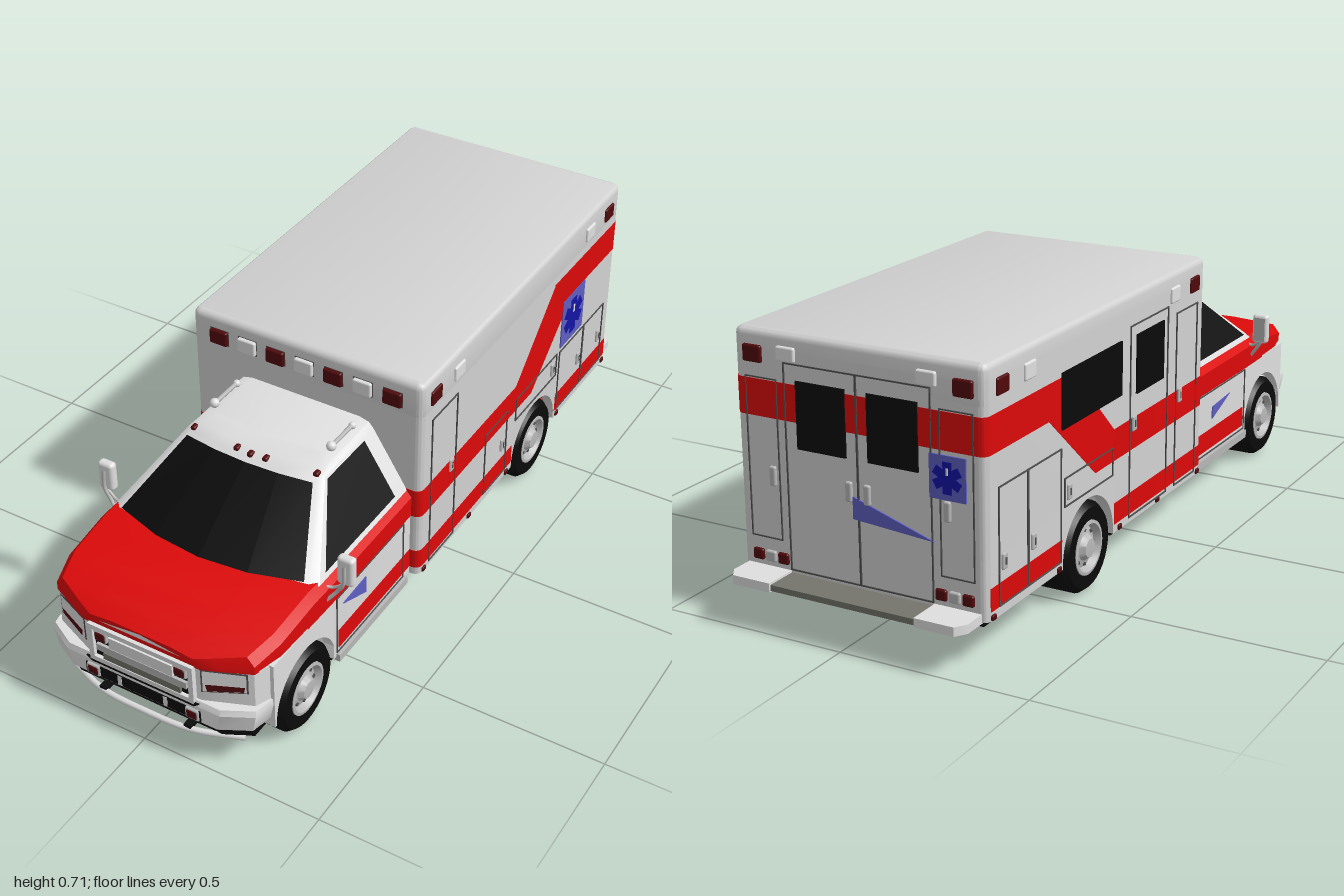
import * as THREE from 'three';
import { toCreasedNormals } from 'three/addons/utils/BufferGeometryUtils.js';
import { RoundedBoxGeometry } from 'three/addons/geometries/RoundedBoxGeometry.js';

export function createModel() {
  const root = new THREE.Group();
  root.name = 'ambulance';
  const mat = (name, color) => Object.assign(new THREE.MeshStandardMaterial({ color }), { name });
  const white = mat('cab white', 0xdfdfdf), shell = mat('body white', 0xd2d2d2), red = mat('red paint', 0xdd0909),
    lampRed = mat('dark red lens', 0x50090b), black = mat('black glass and rubber', 0x0b0b0b), paleBlue = mat('pale blue', 0x5e5ec2),
    blue = mat('deep blue', 0x1414a4), seam = mat('seam grey', 0x505050), chrome = mat('chrome grey', 0xb8b8b8),
    step = mat('step grey', 0x74746c);
  const P = Math.PI, sides = ['L', 'R'];

  const add = (name, geo, m, x = 0, y = 0, z = 0) => {
    const mesh = new THREE.Mesh(geo, m);
    mesh.name = name;
    mesh.position.set(x, y, z);
    root.add(mesh);
    return mesh;
  };
  const box = (name, w, h, d, m, x, y, z) => add(name, new THREE.BoxGeometry(w, h, d), m, x, y, z);
  const soft = (name, w, h, d, m, x, y, z, r = 0.005) => add(name, new RoundedBoxGeometry(w, h, d, 3, r), m, x, y, z);
  const poly = pts => new THREE.Shape(pts.map(p => new THREE.Vector2(p[0], p[1])));
  const rect = (a0, a1, b0, b1) => poly([[a0, b0], [a1, b0], [a1, b1], [a0, b1]]);
  const frame = (a0, a1, b0, b1, t = 0.0035) => {
    const s = rect(a0, a1, b0, b1);
    s.holes.push(rect(a0 + t, a1 - t, b0 + t, b1 - t));
    return s;
  };
  // Flat plate whose outer face lies at distance out; L and R use (z, y), F and B use (x, y)
  const plate = (name, shape, m, face, out, depth = 0.006) => {
    const mesh = add(name, new THREE.ExtrudeGeometry(shape, { depth, bevelEnabled: false, curveSegments: 16 }), m);
    if (face === 'L' || face === 'R') {
      mesh.rotation.y = -P / 2;
      mesh.position.x = face === 'L' ? out : depth - out;
    } else mesh.position.z = face === 'F' ? out - depth : -out;
    return mesh;
  };
  // Upright prism from a plan outline drawn in (x, -z)
  const prism = (name, shape, y0, y1, m, bevel = 0) => {
    const g = new THREE.ExtrudeGeometry(shape, { depth: y1 - y0 - 2 * bevel, bevelEnabled: bevel > 0, bevelSize: bevel,
      bevelThickness: bevel, bevelOffset: -bevel, bevelSegments: 4, curveSegments: 6 });
    g.rotateX(-P / 2);
    return add(name, toCreasedNormals(g, 0.6), m, 0, y0 + bevel, 0);
  };
  const plan = (zB, zF, rB, rF, w) => {
    const s = new THREE.Shape();
    s.absarc(w - rF, rF - zF, rF, -P / 2, 0);
    s.absarc(w - rB, -zB - rB, rB, 0, P / 2);
    s.absarc(rB - w, -zB - rB, rB, P / 2, P);
    s.absarc(rF - w, rF - zF, rF, P, 1.5 * P);
    return s;
  };
  // Skin over cross-section loops, closed at both ends
  const loft = (name, rings, m) => {
    const n = rings[0].length, idx = [], last = (rings.length - 1) * n;
    for (let i = 0; i < rings.length - 1; i++) for (let j = 0; j < n; j++) {
      const a = i * n + j, b = i * n + (j + 1) % n;
      idx.push(a, b, b + n, a, b + n, a + n);
    }
    for (let j = 1; j < n - 1; j++) idx.push(0, j + 1, j, last, last + j, last + j + 1);
    const g = new THREE.BufferGeometry();
    g.setAttribute('position', new THREE.Float32BufferAttribute(rings.flat(2), 3));
    g.setIndex(idx);
    return add(name, toCreasedNormals(g, 0.5), m);
  };
  // Flat polygon in space facing away from the cab, shifted by lift
  const patch = (name, pts, m, lift) => {
    const v = pts.map(p => new THREE.Vector3(...p));
    const n = v[1].clone().sub(v[0]).cross(v[2].clone().sub(v[0]));
    if (n.dot(v[0].clone().sub(new THREE.Vector3(0, 0.25, 0.35))) < 0) v.reverse();
    const g = new THREE.BufferGeometry().setFromPoints(v);
    g.setIndex(v.slice(2).flatMap((_, i) => [0, i + 1, i + 2]));
    g.computeVertexNormals();
    return add(name, g, m, ...lift);
  };
  const tube = (name, pts, r, m) => add(name, new THREE.TubeGeometry(
    new THREE.CatmullRomCurve3(pts.map(p => new THREE.Vector3(...p))), 20, r, 8), m);
  const arch = (c, z0, z1, top) => {
    const s = new THREE.Shape(), r = 0.133;
    s.moveTo(z0, 0.107).lineTo(c - r, 0.107).absarc(c, 0.115, r, P, 0, true);
    s.lineTo(c + r, 0.107).lineTo(z1, 0.107).lineTo(z1, top).lineTo(z0, top).closePath();
    return s;
  };

  // Patient compartment
  const W = 0.34, F = 0.246, B = -0.905, E = 0.001, T = 0.0012;
  prism('boxBody', plan(B, F, 0.02, 0.02, W), 0.255, 0.67, shell);
  prism('boxRoof', plan(B, F, 0.02, 0.02, W), 0.6, 0.715, shell, 0.018);
  prism('frontSkirt', plan(-0.28, F, E, 0.02, W), 0.107, 0.256, shell);
  prism('rearSkirt', plan(B, -0.555, 0.02, E, W), 0.107, 0.256, shell);
  for (const f of sides) plate('rearWheelArch', arch(-0.417, -0.557, -0.278, 0.257), shell, f, W, 0.03);
  box('rearWheelhouse', 0.5, 0.16, 0.3, black, 0, 0.175, -0.417);
  box('underbody', 0.65, 0.02, 0.5, black, 0, 0.104, -0.02);
  box('rearUnderbody', 0.65, 0.02, 0.335, black, 0, 0.104, -0.73);
  box('chassis', 0.34, 0.05, 0.36, black, 0, 0.085, 0.45);
  add('rearAxle', new THREE.CylinderGeometry(0.025, 0.025, 0.4, 12), black, 0, 0.115, -0.417).rotation.z = P / 2;

  // Red bands
  prism('lowerBandFront', plan(-0.28, F + T, E, 0.02 + T, W + T), 0.13, 0.187, red);
  prism('lowerBandRear', plan(B + 0.015, -0.555, E, E, W + T), 0.13, 0.187, red);
  prism('waistBand', plan(-0.29, F + T, E, 0.02 + T, W + T), 0.302, 0.385, red);
  prism('upperBand', plan(B - T, -0.5, 0.02 + T, E, W + T), 0.503, 0.594, red);
  for (const f of sides)
    plate('slantBand', poly([[-0.385, 0.302], [-0.62, 0.503], [-0.62, 0.594], [-0.505, 0.594], [-0.285, 0.385], [-0.285, 0.302]].reverse()), red, f, W + T);

  // Doors, lockers and handles
  const panels = { L: [[0.06, 0.195, 0.12, 0.585], [-0.24, -0.11, 0.13, 0.335], [-0.545, -0.29, 0.265, 0.34], [-0.72, -0.56, 0.13, 0.335], [-0.855, -0.72, 0.13, 0.335]],
    R: [[0.07, 0.2, 0.12, 0.6], [-0.2, 0.02, 0.12, 0.63], [-0.545, -0.29, 0.265, 0.34], [-0.72, -0.56, 0.13, 0.42], [-0.855, -0.72, 0.13, 0.42]] };
  for (const f of sides) for (const [a, b, c, d] of panels[f]) {
    plate('panelSeam', frame(a, b, c, d), seam, f, W + 0.003);
    const x = (f === 'L' ? 1 : -1) * W, hy = d > 0.5 ? 0.37 : d === 0.34 ? 0.3 : 0.235;
    soft('handle', 0.012, 0.042, 0.022, chrome, x, hy, a + 0.025);
    box('latch', 0.014, 0.018, 0.006, seam, x, hy, a + 0.025);
  }
  for (const [a, b] of [[-0.2, 0.001], [-0.001, 0.2]]) plate('rearDoorSeam', frame(a, b, 0.13, 0.645), seam, 'B', 0.908);
  for (const s of [-1, 1]) {
    plate('rearWindow', rect(s > 0 ? 0.03 : -0.165, s > 0 ? 0.165 : -0.03, 0.44, 0.605), black, 'B', 0.91);
    plate('rearLockerSeam', frame(s > 0 ? 0.22 : -0.31, s > 0 ? 0.31 : -0.22, 0.2, 0.6, 0.003), seam, 'B', 0.908);
    soft('rearHandle', 0.018, 0.05, 0.012, chrome, s * 0.025, 0.36, -0.907);
    soft('lockerHandle', 0.018, 0.05, 0.012, chrome, s * 0.24, 0.36, -0.907);
    for (let i = 0; i < 3; i++) soft('tailLamp', 0.03, 0.028, 0.012, i === 1 ? chrome : lampRed, s * (0.22 + i * 0.036), 0.155, -0.907);
  }
  plate('sideWindow', rect(-0.56, -0.25, 0.465, 0.605), black, 'R', W + 0.005);
  plate('sideDoorWindow', rect(-0.165, -0.01, 0.445, 0.6), black, 'R', W + 0.005);

  // Blue markings
  const badge = (face, a, b, r, out) => {
    plate('badgeField', rect(a - r, a + r, b - r * 1.1, b + r * 1.1), paleBlue, face, out);
    for (let i = 0; i < 3; i++) {
      const c = Math.cos(P / 2 + i * P / 3), s = Math.sin(P / 2 + i * P / 3), l = r * 0.8, h = r * 0.24;
      plate('badgeStar', poly([[-l, -h], [l, -h], [l, h], [-l, h]].map(([u, v]) => [a + u * c - v * s, b + u * s + v * c])), blue, face, out + 0.0015);
    }
    plate('badgeStaff', rect(a - r * 0.06, a + r * 0.06, b + r * 0.15, b + r * 0.5), white, face, out + 0.003);
  };
  badge('L', -0.63, 0.425, 0.07, W + 0.003);
  badge('B', -0.242, 0.44, 0.048, 0.909);
  plate('rearTriangle', poly([[0.015, 0.35], [-0.205, 0.28], [0.015, 0.295]]), paleBlue, 'B', 0.909);
  plate('leftDoorTriangle', poly([[0.58, 0.262], [0.47, 0.215], [0.47, 0.266]]), paleBlue, 'L', 0.315);
  plate('rightDoorTriangle', poly([[0.5, 0.258], [0.38, 0.215], [0.38, 0.25]]), paleBlue, 'R', 0.315);

  // Warning lamps round the top
  for (let i = -3; i <= 3; i++) {
    plate('frontLampGasket', rect(i * 0.0855 - 0.028, i * 0.0855 + 0.028, 0.6325, 0.6775), seam, 'F', F + 0.001);
    soft('frontWarningLamp', 0.053, 0.042, 0.016, i % 2 ? lampRed : white, i * 0.0855, 0.655, F + 0.003);
  }
  for (const s of [-1, 1]) {
    [[0.178, lampRed], [0.058, white], [-0.71, white], [-0.833, lampRed]].forEach(([z, m]) =>
      soft('sideWarningLamp', 0.016, 0.042, 0.052, m, s * (W - 0.002), 0.653, z));
    soft('rearWarningLamp', 0.052, 0.042, 0.016, lampRed, s * 0.285, 0.655, B);
    soft('rearFloodLamp', 0.052, 0.036, 0.016, white, s * 0.19, 0.665, B);
    for (const z of [0.22, -0.03, -0.25, -0.57, -0.88]) soft('sillMarker', 0.01, 0.014, 0.018, lampRed, s * W, 0.115, z, 0.003);
  }

  // Rear step
  box('stepTread', 0.4, 0.015, 0.09, step, 0, 0.115, -0.945);
  for (const s of [-1, 1]) prism('stepWing', poly([[0.2, 0.9], [0.325, 0.9], [0.325, 0.965], [0.305, 0.995], [0.2, 0.995]].map(([x, z]) => [s * x, z])), 0.105, 0.128, white);

  // Cab lower body
  const noseRing = (y, pts) => [...pts.map(([x, z]) => [x, y, z]), ...pts.map(([x, z]) => [-x, y, z]).reverse()];
  prism('cabSill', plan(0.23, 0.622, E, E, 0.312), 0.107, 0.306, white);
  loft('cabNose', [0.15, 0.306].map(y => noseRing(y, [[0.165, 0.978], [0.285, 0.93], [0.306, 0.88]])), white);
  loft('frontBumper', [[0.113, 0.29, 0.972], [0.135, 0.303, 0.988], [0.185, 0.313, 0.99], [0.2, 0.311, 0.984]].map(([y, w, z]) =>
    noseRing(y, [[w - 0.09, z], [w - 0.015, z - 0.04], [w, 0.87]])), white);
  loft('bumperValance', [0.097, 0.115].map(y => noseRing(y, [[0.21, 0.965], [0.28, 0.93], [0.28, 0.87]])), black);
  box('engineBay', 0.46, 0.2, 0.68, black, 0, 0.19, 0.57);
  for (const f of sides) {
    plate('frontFender', arch(0.75, 0.61, 0.89, 0.307), white, f, 0.312, 0.03);
    plate('cabLowerBand', rect(0.24, 0.6, 0.13, 0.187), red, f, 0.3135);
    plate('cabDoorSeam', frame(0.28, 0.61, 0.118, 0.3), seam, f, 0.3145);
  }

  // Red hood and shoulders
  const ring = ([z, w, y]) => [[w, 0.303], [w, y - 0.028], [w - 0.02, y - 0.004], [w * 0.5, y + 0.003], [-w * 0.5, y + 0.003], [0.02 - w, y - 0.004], [-w, y - 0.028], [-w, 0.303]].map(([a, b]) => [a, b, z]);
  loft('hood', [[0.235, 0.315, 0.39], [0.62, 0.315, 0.39], [0.71, 0.313, 0.39], [0.85, 0.308, 0.372], [0.93, 0.287, 0.354], [0.965, 0.21, 0.34], [0.982, 0.168, 0.333]].map(ring), red);
  patch('hoodChevron', [[-0.12, 0.322, 0.982], [0.12, 0.322, 0.982], [0, 0.336, 0.982]], white, [0, 0, 0.003]);

  // Greenhouse with a bowed windshield
  const S = [-1, -0.5, 0, 0.5, 1];
  const loop = (y, w, zs, c, zf, bow) => [...S.slice(2).map(s => [s * c, zf - bow * s * s]), [w, zs], [w, 0.23], [-w, 0.23], [-w, zs],
    ...S.slice(0, 2).map(s => [s * c, zf - bow * s * s])].map(([x, z]) => [x, y, z]);
  loft('cabTop', [loop(0.38, 0.301, 0.667, 0.283, 0.746, 0.057), loop(0.54, 0.2, 0.475, 0.187, 0.508, 0.015), loop(0.553, 0.188, 0.44, 0.172, 0.48, 0.015), loop(0.56, 0.16, 0.41, 0.15, 0.43, 0.01)], white);
  const ws = (s, y) => { const t = (y - 0.38) / 0.16; return [s * (0.283 - 0.096 * t) * 0.965, y, 0.746 - 0.238 * t - s * s * (0.057 - 0.042 * t)]; };
  for (let i = 0; i < 4; i++)
    patch('windshield', [ws(S[i], 0.388), ws(S[i + 1], 0.388), ws(S[i + 1], 0.533), ws(S[i], 0.533)], black, [0, 0.004, 0.005]);
  for (const s of [-1, 1]) {
    const sx = y => s * (0.301 - 0.101 * (y - 0.38) / 0.16);
    patch('cabSideWindow', [[0.3, 0.393], [0.632, 0.393], [0.475, 0.535], [0.3, 0.535]].map(([z, y]) => [sx(y), y, z]), black, [s * 0.004, 0.002, 0]);
    // Mirrors
    soft('mirror', 0.046, 0.084, 0.026, white, s * 0.352, 0.423, 0.625, 0.01);
    box('mirrorGlass', 0.034, 0.068, 0.004, chrome, s * 0.352, 0.423, 0.612);
    tube('mirrorArm', [[s * 0.295, 0.31, 0.66], [s * 0.335, 0.36, 0.642], [s * 0.352, 0.39, 0.642], [s * 0.353, 0.445, 0.64]], 0.005, chrome);
    tube('mirrorBrace', [[s * 0.295, 0.37, 0.65], [s * 0.32, 0.365, 0.64], [s * 0.35, 0.385, 0.635]], 0.004, chrome);
    // Roof horns
    tube('roofHorn', [[s * 0.172, 0.572, 0.3], [s * 0.172, 0.572, 0.35], [s * 0.172, 0.572, 0.4]], 0.006, chrome);
    add('hornBell', new THREE.SphereGeometry(0.013, 12, 8), white, s * 0.172, 0.573, 0.4);
    add('hornTail', new THREE.SphereGeometry(0.01, 12, 8), white, s * 0.172, 0.571, 0.3);
    box('sideStep', 0.05, 0.022, 0.34, chrome, s * 0.297, 0.104, 0.44);
    box('stepSupport', 0.08, 0.025, 0.3, black, s * 0.25, 0.085, 0.45);
    // Headlights on the angled nose
    const hp = (x, y) => [s * x, y, 0.93 + 0.048 * (0.285 - x) / 0.12];
    const out = d => [s * d * 0.37, 0, d * 0.93];
    patch('headlightRim', [hp(0.166, 0.23), hp(0.272, 0.24), hp(0.272, 0.303), hp(0.166, 0.303)], seam, out(0.003));
    patch('headlight', [hp(0.17, 0.234), hp(0.268, 0.244), hp(0.268, 0.299), hp(0.17, 0.299)], white, out(0.0045));
    patch('turnSignal', [hp(0.18, 0.237), hp(0.262, 0.246), hp(0.265, 0.262), hp(0.176, 0.258)], lampRed, out(0.006));
    // Bumper and grille lamps
    soft('bumperLampRim', 0.04, 0.034, 0.012, chrome, s * 0.145, 0.156, 0.99);
    soft('bumperLamp', 0.031, 0.026, 0.016, lampRed, s * 0.145, 0.156, 0.99);
    box('bumperPost', 0.012, 0.03, 0.012, white, s * 0.067, 0.156, 0.987);
    soft('grilleLampRim', 0.038, 0.034, 0.018, chrome, s * 0.115, 0.277, 0.984);
    soft('grilleLamp', 0.03, 0.026, 0.022, lampRed, s * 0.115, 0.277, 0.985);
    box('barBracket', 0.02, 0.012, 0.09, black, s * 0.125, 0.098, 0.945);
  }
  for (const x of [-0.18, -0.042, 0, 0.042, 0.18]) soft('roofMarker', 0.015, 0.014, 0.02, lampRed, x, 0.545, 0.497 - Math.abs(x) * 0.1);

  // Grille, bumper inset and push bar
  plate('grilleFrame', frame(-0.152, 0.152, 0.19, 0.306, 0.014), white, 'F', 0.992, 0.04);
  plate('grilleShadow', poly([[-0.15, 0.182], [0.15, 0.182], [0.165, 0.194], [-0.165, 0.194]]), black, 'F', 0.991, 0.03);
  plate('grilleBack', rect(-0.14, 0.14, 0.2, 0.295), black, 'F', 0.982);
  box('grilleUpperBar', 0.185, 0.034, 0.012, white, 0, 0.266, 0.984);
  box('grilleMiddleBar', 0.262, 0.02, 0.012, chrome, 0, 0.237, 0.984);
  box('grilleLowerBar', 0.225, 0.02, 0.012, step, 0, 0.214, 0.984);
  plate('bumperInset', rect(-0.168, 0.168, 0.14, 0.172), black, 'F', 0.992);
  tube('pushBar', [[-0.26, 0.09, 0.94], [-0.13, 0.09, 0.985], [0, 0.09, 0.992], [0.13, 0.09, 0.985], [0.26, 0.09, 0.94]], 0.008, white);

  // Wheels, outer face toward +y before turning
  const lathe = pts => toCreasedNormals(new THREE.LatheGeometry(pts.map(p => new THREE.Vector2(...p)), 32), 0.6);
  for (const [z, x, w] of [[0.75, 0.318, 0.11], [-0.417, 0.343, 0.165]]) for (const s of [-1, 1]) {
    const wheel = new THREE.Group();
    wheel.name = z > 0 ? 'frontWheel' : 'rearWheel';
    wheel.position.set(s * x, 0.117, z);
    wheel.rotation.z = -s * P / 2;
    const part = (name, g, m) => { const o = new THREE.Mesh(g, m); o.name = name; wheel.add(o); return o; };
    part('tyre', lathe([[0, -w], [0.1, -w], [0.117, -w + 0.015], [0.117, -0.018], [0.104, -0.002], [0.072, -0.002], [0.066, -0.03], [0, -0.03]]), black);
    part('rim', lathe([[0.071, -0.03], [0.07, -0.001], [0.062, 0], [0.053, -0.018], [0.034, -0.012], [0.024, 0.002], [0, 0.004]]), chrome);
    for (let i = 0; i < 8; i++) {
      const a = i * P / 4;
      part('rimSlot', new THREE.CylinderGeometry(0.005, 0.005, 0.004, 8), seam).position.set(0.045 * Math.cos(a), -0.014, 0.045 * Math.sin(a));
    }
    root.add(wheel);
  }
  return root;
}
